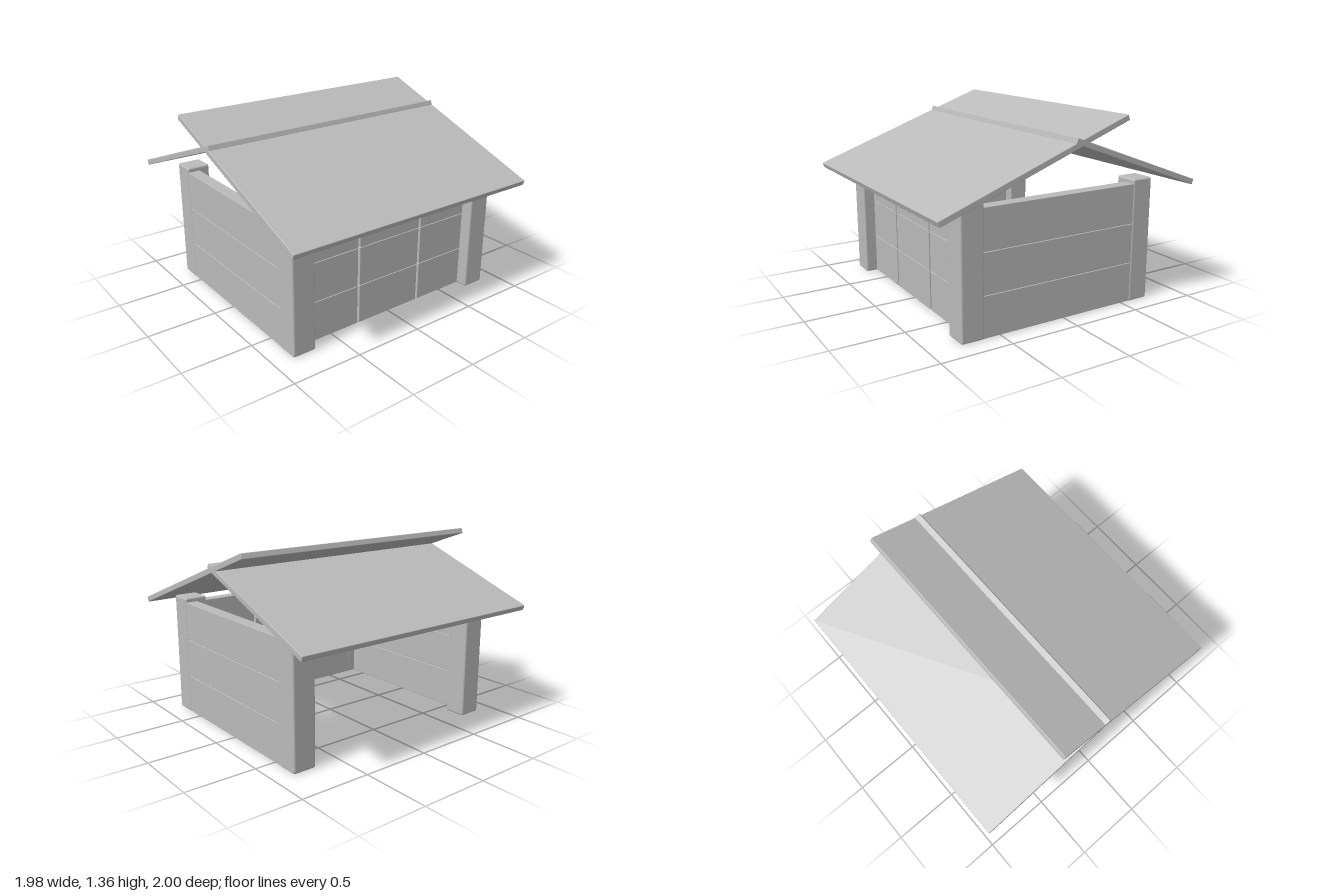
import * as THREE from 'three';
import { RoundedBoxGeometry } from 'three/addons/geometries/RoundedBoxGeometry.js';

export function createModel() {
  const group = new THREE.Group();
  group.name = 'openShed';
  const grey = new THREE.MeshStandardMaterial({ color: 0xbababa });
  grey.name = 'plain grey';

  // Softly bevelled block spanning the given ranges
  function block(name, [x0, x1], [y0, y1], [z0, z1], bevel = 0.008) {
    const geometry = new RoundedBoxGeometry(x1 - x0, y1 - y0, z1 - z0, 2, bevel);
    const mesh = new THREE.Mesh(geometry, grey);
    mesh.name = name;
    mesh.position.set((x0 + x1) / 2, (y0 + y1) / 2, (z0 + z1) / 2);
    group.add(mesh);
    return mesh;
  }
  const mirror = (side, a, b) => (side > 0 ? [a, b] : [-b, -a]);

  const rows = [[0.003, 0.287], [0.289, 0.57], [0.572, 0.853]];
  const columns = [[-0.7, -0.28], [-0.265, 0.26], [0.275, 0.7]];

  for (const side of [1, -1]) {
    const label = side > 0 ? 'left' : 'right';
    // Corner posts
    const across = mirror(side, 0.69, 0.86);
    block(label + 'FrontPost', across, [0, 0.885], [0.62, 0.785], 0.014);
    block(label + 'BackPost', across, [0, 0.885], [-0.725, -0.565], 0.014);
    // Side wall boards, nearly flush with the outside of the posts
    rows.forEach((row, i) =>
      block(label + 'WallBoard' + (i + 1), mirror(side, 0.765, 0.855), row, [-0.58, 0.635], 0.004));
  }

  // Front wall: three columns of boards set back between the posts
  columns.forEach((column, c) => rows.forEach((row, r) =>
    block(`frontBoard${c + 1}_${r + 1}`, column, row, [0.62, 0.7], 0.004)));

  // Two crossing roof panels, the front one running past the ridge
  function roofPanel(name, length, y, z, tilt) {
    const panel = block(name, [-0.988, 0.988], [-0.02, 0.02], [-length / 2, length / 2], 0.005);
    panel.position.set(0, y, z);
    panel.rotation.x = tilt;
  }
  const pitch = THREE.MathUtils.degToRad(20.2);
  roofPanel('frontRoofPanel', 1.465, 1.085, 0.305, pitch);
  roofPanel('backRoofPanel', 1.093, 1.032, -0.48, -pitch);

  return group;
}
